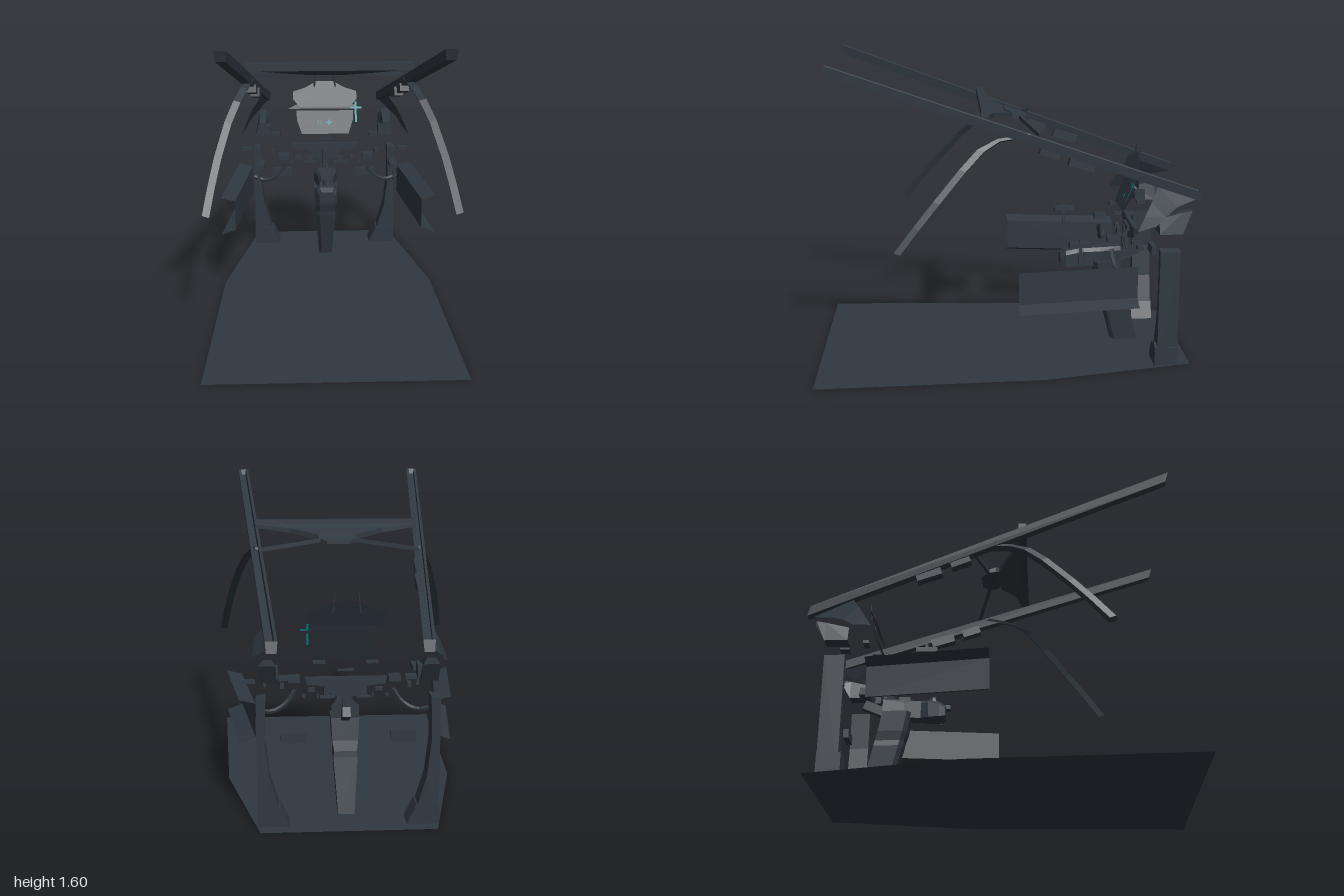
import * as THREE from 'three';

const slate = new THREE.MeshStandardMaterial({ color: 0x2f3840, side: THREE.DoubleSide });
slate.name = 'slate';
const teal = new THREE.MeshStandardMaterial({ color: 0x0b8a94, side: THREE.DoubleSide });
teal.name = 'teal';

function add(parent, name, geo, mat = slate) {
  const g = geo.index ? geo.toNonIndexed() : geo;
  g.computeVertexNormals();
  const m = new THREE.Mesh(g, mat);
  m.name = name;
  parent.add(m);
  return m;
}

// Faceted skin through cross-sections; closed sections get end caps
function loft(sections, closed = true) {
  const out = [];
  const tri = (a, b, c) => out.push(...a, ...b, ...c);
  const n = sections[0].length;
  for (let s = 0; s < sections.length - 1; s++) {
    const A = sections[s], B = sections[s + 1];
    for (let i = 0; i < (closed ? n : n - 1); i++) {
      const j = (i + 1) % n;
      tri(A[i], A[j], B[j]);
      tri(A[i], B[j], B[i]);
    }
  }
  if (closed) {
    const A = sections[0], B = sections[sections.length - 1];
    for (let i = 1; i < n - 1; i++) {
      tri(A[0], A[i + 1], A[i]);
      tri(B[0], B[i], B[i + 1]);
    }
  }
  const g = new THREE.BufferGeometry();
  g.setAttribute('position', new THREE.Float32BufferAttribute(out, 3));
  return g;
}

const shape = (pts) => new THREE.Shape(pts.map(([x, y]) => new THREE.Vector2(x, y)));
const mirrored = (pts) => [...pts, ...pts.slice().reverse().map(([x, y]) => [-x, y])];

// Flat sheet in x and y whose z leans back by slope k from (y0, z0)
function sheet(pts, y0, z0, k) {
  const g = new THREE.ShapeGeometry(shape(pts));
  const p = g.attributes.position;
  for (let i = 0; i < p.count; i++) p.setZ(i, z0 + k * (p.getY(i) - y0));
  return g;
}

function box(parent, name, [x, y, z, w, h, d], mat) {
  return add(parent, name, new THREE.BoxGeometry(w, h, d).translate(x, y, z), mat);
}

// Straight bar of rectangular section between two points
function beam(a, b, w, h) {
  const A = new THREE.Vector3(...a), B = new THREE.Vector3(...b);
  const m = new THREE.Matrix4().lookAt(A, B, new THREE.Vector3(0, 1, 0));
  m.setPosition(A.clone().add(B).multiplyScalar(0.5));
  return new THREE.BoxGeometry(w, h, A.distanceTo(B)).applyMatrix4(m);
}

// Everything that exists on both sides, made for +x
function buildSide() {
  const s = new THREE.Group();

  // Roof rail: channel open at the top
  const rail = ([x, y, z]) => [[-0.029, 0.03], [-0.024, -0.024], [0.024, -0.024], [0.029, 0.03],
    [0.015, 0.03], [0.012, 0], [-0.012, 0], [-0.015, 0.03]].map(([u, v]) => [x + u, y + v, z + v * 0.3]);
  add(s, 'roofRail', loft([rail([0.515, 1.57, 0.89]), rail([0.36, 0.895, -0.99])]));
  add(s, 'railBlock', beam([0.405, 1.105, -0.3], [0.4, 1.065, -0.43], 0.05, 0.05));
  add(s, 'railBlockUpper', beam([0.42, 1.165, -0.15], [0.415, 1.13, -0.25], 0.05, 0.045));

  // Curved arm falling forward from the rail
  const arm = [[0.42, 1.235, -0.1], [0.45, 1.215, 0.06], [0.485, 1.17, 0.15], [0.53, 1.08, 0.24],
    [0.58, 0.93, 0.37], [0.61, 0.81, 0.47], [0.635, 0.69, 0.565]];
  add(s, 'sideArm', loft(arm.map(([x, y, z], i) => {
    const d = i < 2 ? 0.006 : 0.016;
    return [[x - 0.02, y, z + d], [x + 0.016, y + 0.012, z + d], [x + 0.02, y, z - d], [x - 0.016, y - 0.012, z - d]];
  })));

  // Side console: channel open to the outside
  const channel = (x, z) => [[x + 0.08, 0.568, z], [x, 0.548, z], [x, 0.38, z], [x + 0.08, 0.35, z]];
  add(s, 'sideConsole', loft([channel(0.52, -0.04), channel(0.44, -0.66)], false));

  // Upright frame with a flared foot
  const frame = shape([[0.435, 0], [0.435, 0.62], [0.39, 0.63], [0.395, 0.42], [0.375, 0.24], [0.33, 0.09], [0.285, 0]]);
  add(s, 'uprightFrame', new THREE.ExtrudeGeometry(frame, { depth: 0.105, bevelEnabled: false }).translate(0, 0, -0.88));
  const foot = shape([[0.437, 0], [0.437, 0.1], [0.4, 0.115], [0.325, 0.095], [0.28, 0]]);
  add(s, 'frameFoot', new THREE.ExtrudeGeometry(foot, { depth: 0.12, bevelEnabled: false }).translate(0, 0, -0.882));

  // Bent gusset under the rear end of the rail
  add(s, 'railGusset', loft([
    [[0.385, 0.96, -0.76], [0.35, 0.88, -0.97]],
    [[0.44, 0.89, -0.72], [0.4, 0.85, -0.86]],
    [[0.475, 0.82, -0.68], [0.45, 0.81, -0.79]],
    [[0.505, 0.75, -0.64], [0.475, 0.77, -0.74]]], false));

  // Hinge block between rail and frame
  const hinge = (z, lo, hi) => [[0.34, lo, z], [0.42, lo, z], [0.4, hi, z], [0.36, hi, z]];
  add(s, 'hingeBlock', loft([hinge(-0.77, 0.71, 0.79), hinge(-0.89, 0.71, 0.82), hinge(-0.94, 0.8, 0.83)]));
  box(s, 'hingePin', [0.36, 0.74, -0.8, 0.06, 0.06, 0.06]);

  // Grip on a curved support
  const curve = new THREE.CatmullRomCurve3([[0.43, 0.5, -0.6], [0.36, 0.485, -0.58], [0.29, 0.52, -0.56],
    [0.245, 0.585, -0.55]].map((p) => new THREE.Vector3(...p)));
  add(s, 'gripSupport', new THREE.TubeGeometry(curve, 8, 0.012, 5));
  box(s, 'grip', [0.25, 0.645, -0.555, 0.06, 0.028, 0.065]);

  // Throttle lever above the console
  box(s, 'leverStem', [0.395, 0.62, -0.365, 0.015, 0.13, 0.015]);
  box(s, 'leverHandle', [0.385, 0.655, -0.365, 0.045, 0.025, 0.11]);

  // Switch boxes on the frame and around the dashboard
  [[0.285, 0.44, -0.87, 0.07, 0.05, 0.03], [0.225, 0.44, -0.87, 0.05, 0.05, 0.03],
    [0.47, 0.66, -0.66, 0.06, 0.018, 0.03], [0.3, 0.71, -0.8, 0.055, 0.018, 0.05],
    [0.165, 0.61, -0.64, 0.035, 0.018, 0.02], [0.09, 0.6, -0.64, 0.03, 0.035, 0.02],
    [0.135, 0.58, -0.64, 0.008, 0.02, 0.02], [0.205, 0.578, -0.64, 0.016, 0.014, 0.02],
    [0.09, 0.575, -0.65, 0.07, 0.008, 0.03], [0.13, 0.752, -0.66, 0.06, 0.008, 0.05],
    [0.31, 0.64, -0.67, 0.02, 0.02, 0.05]].forEach((b) => box(s, 'switchBox', b));

  // Stay from the roof hub to the rail, and hood spike
  add(s, 'roofStay', beam([0.09, 1.275, -0.07], [0.42, 1.235, -0.15], 0.015, 0.02));
  add(s, 'hoodSpike', beam([0.066, 1.0, -0.715], [0.056, 1.1, -0.725], 0.008, 0.008));
  return s;
}

export function createModel() {
  const model = new THREE.Group();
  model.name = 'cockpit';

  // Floor
  const floor = shape(mirrored([[0.65, -1], [0.595, 0.17], [0.42, 0.955]]));
  add(model, 'floor', new THREE.ShapeGeometry(floor).rotateX(-Math.PI / 2));

  const left = buildSide();
  left.name = 'leftSide';
  const right = buildSide();
  right.name = 'rightSide';
  right.scale.x = -1;
  model.add(left, right);

  // Roof cross bar with a tapering panel and central hub
  box(model, 'crossBar', [0, 1.348, 0.125, 0.88, 0.04, 0.04]);
  const row = (w, y, z, t) => [[-w, y, z], [w, y, z], [w, y - t, z], [-w, y - t, z]];
  add(model, 'roofPanel', loft([row(0.44, 1.345, 0.105, 0.02), row(0.25, 1.325, 0.07, 0.025), row(0.1, 1.3, -0.01, 0.03)]));
  add(model, 'roofHub', loft([row(0.07, 1.315, 0.01, 0.03), row(0.1, 1.3, -0.03, 0.03),
    row(0.1, 1.285, -0.07, 0.02), row(0.06, 1.275, -0.11, 0.015)]));

  // Instrument hood, wing plate and screen
  add(model, 'hood', sheet(mirrored([[0.15, 0.92], [0.19, 0.96], [0.19, 1.005], [0.12, 1.025], [0.05, 1.06]]), 0.92, -0.66, -0.5));
  add(model, 'wingPlate', sheet(mirrored([[0.22, 0.9], [0.14, 0.94]]), 0.9, -0.69, -0.4));
  add(model, 'screen', sheet(mirrored([[0.14, 0.76], [0.17, 0.84], [0.17, 0.89]]), 0.76, -0.625, -0.45));

  // Teal markers
  const mark = (x, y, w, h, z) => add(model, 'marker',
    sheet([[x - w, y - h], [x + w, y - h], [x + w, y + h], [x - w, y + h]], 0.83, z, -0.42), teal);
  mark(0.185, 0.888, 0.006, 0.057, -0.63);
  mark(0.187, 0.912, 0.033, 0.006, -0.628);
  mark(0.025, 0.825, 0.005, 0.016, -0.65);
  mark(0.025, 0.825, 0.016, 0.004, -0.65);
  [-0.04, -0.024].forEach((x) => [0.818, 0.834].forEach((y) => mark(x, y, 0.004, 0.003, -0.65)));

  // Lower dashboard bar
  const dash = shape(mirrored([[0.025, 0.585], [0.07, 0.6], [0.1, 0.64], [0.19, 0.65], [0.2, 0.685]]));
  add(model, 'dashBar', new THREE.ExtrudeGeometry(dash, { depth: 0.025, bevelEnabled: false }).translate(0, 0, -0.7));
  box(model, 'dashRidge', [0, 0.65, -0.67, 0.13, 0.03, 0.02]);
  box(model, 'indicator', [0, 0.715, -0.67, 0.08, 0.008, 0.02]);

  // Centre console: arm, pillar and stem
  const slab = ([z, w, lo, hi]) => [[-w, lo, z], [w, lo, z], [w, hi - 0.02, z], [w * 0.7, hi, z], [-w * 0.7, hi, z], [-w, hi - 0.02, z]];
  add(model, 'consoleArm', loft([[-0.3, 0.045, 0.44, 0.5], [-0.33, 0.06, 0.43, 0.52], [-0.39, 0.055, 0.43, 0.53],
    [-0.43, 0.038, 0.43, 0.53], [-0.52, 0.045, 0.43, 0.535], [-0.63, 0.068, 0.43, 0.545]].map(slab)));
  add(model, 'consolePillar', loft([[0.46, 0.07, -0.48, -0.63], [0.35, 0.064, -0.5, -0.65], [0.3, 0.056, -0.515, -0.665],
    [0.27, 0.06, -0.52, -0.67], [0, 0.04, -0.59, -0.735]].map(([y, w, f, b]) =>
    [[-w, y, b], [w, y, b], [w, y, f - 0.02], [w * 0.6, y, f], [-w * 0.6, y, f], [-w, y, f - 0.02]])));
  add(model, 'consoleStem', beam([0, 0.47, -0.62], [0, 0.52, -0.735], 0.04, 0.05));
  box(model, 'stemPost', [0, 0.59, -0.665, 0.028, 0.13, 0.03]);
  add(model, 'consoleKnob', new THREE.CylinderGeometry(0.02, 0.025, 0.03, 8).translate(0, 0.54, -0.37));

  return model;
}
